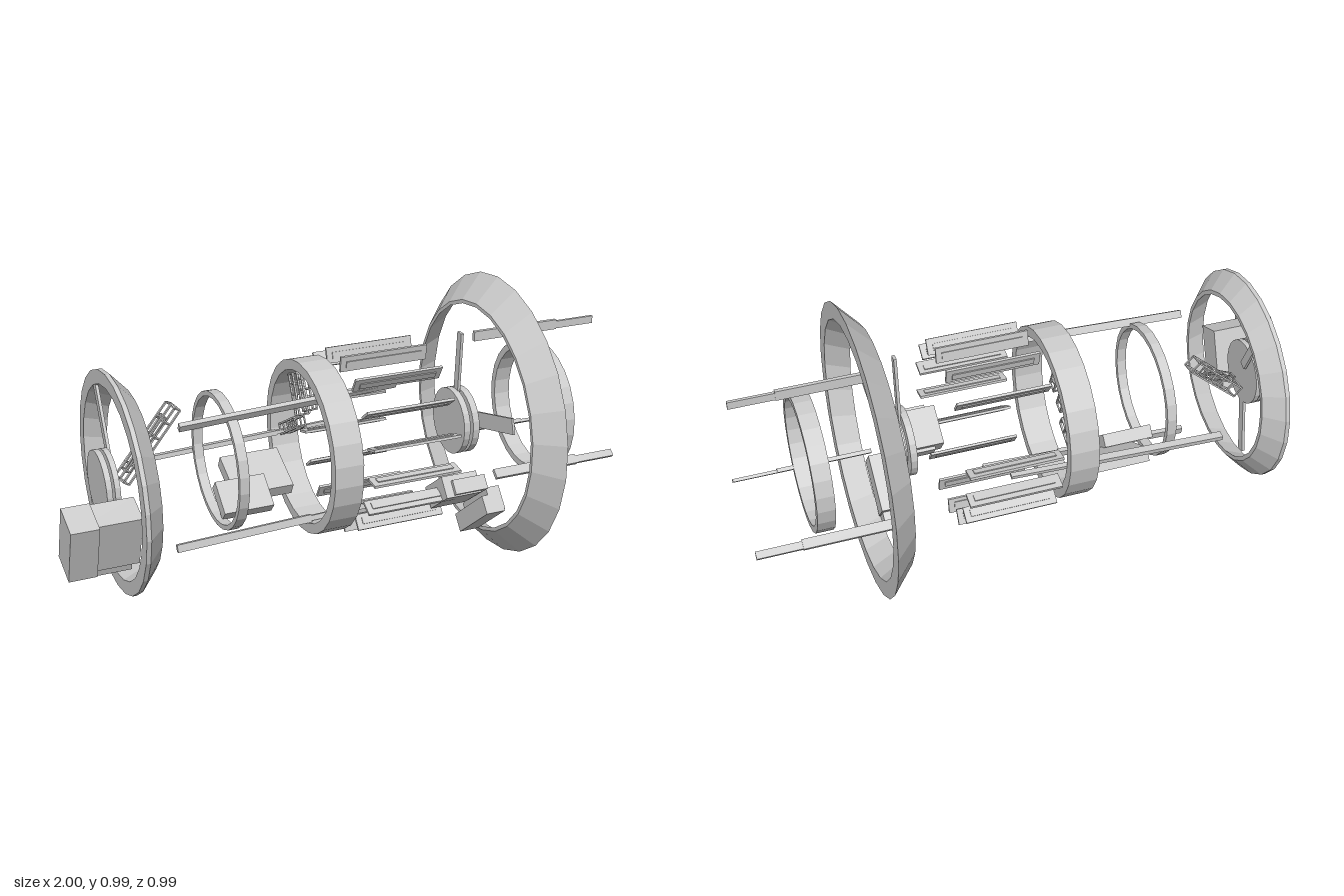
import * as THREE from 'three';

const mat = new THREE.MeshStandardMaterial({ color: 0xcccccc, flatShading: true, side: THREE.DoubleSide });
const rad = THREE.MathUtils.degToRad;

export function createModel() {
  const model = new THREE.Group();

  const add = (name, geo, parent = model) => {
    const mesh = new THREE.Mesh(geo, mat);
    mesh.name = name;
    parent.add(mesh);
    return mesh;
  };

  // Ring around the x axis; profile is a list of [x, radius]
  const ring = (name, profile, y, z = 0, sides = 26) => {
    const pts = [...profile, profile[0]].map(([x, r]) => new THREE.Vector2(r, x));
    const geo = new THREE.LatheGeometry(pts, sides, Math.PI / sides);
    geo.rotateZ(-Math.PI / 2);
    add(name, geo).position.set(0, y, z);
  };
  const band = (x0, x1, ro, ri) => [[x0, ro], [x1, ro], [x1, ri], [x0, ri]];

  // Box turned about the x axis: angle 0 points up, 90 points to +z
  const block = (name, x0, x1, y, z, angle, radial, tangential, parent = model) => {
    const mesh = add(name, new THREE.BoxGeometry(x1 - x0, radial, tangential), parent);
    mesh.position.set((x0 + x1) / 2, y, z);
    mesh.rotation.x = rad(angle);
    return mesh;
  };

  // Box from a distance r0 to r1 along a radial direction
  const radialBlock = (name, x0, x1, yc, angle, r0, r1, width, parent) => {
    const a = rad(angle), r = (r0 + r1) / 2;
    return block(name, x0, x1, yc + r * Math.cos(a), r * Math.sin(a), angle, r1 - r0, width, parent);
  };

  const disc = (name, x0, x1, y, r) => {
    const geo = new THREE.CylinderGeometry(r, r, x1 - x0, 24);
    geo.rotateZ(Math.PI / 2);
    add(name, geo).position.set((x0 + x1) / 2, y, 0);
  };

  // Thin square bar between two points
  const bar = (a, b, t, parent) => {
    const mesh = add('bar', new THREE.BoxGeometry(t, t, a.distanceTo(b)), parent);
    mesh.position.copy(a).lerp(b, 0.5);
    mesh.lookAt(b);
  };

  // Lattice truss with four long bars and square frames
  const truss = (name, from, to, width, bays, t = 0.006) => {
    const group = new THREE.Group();
    group.name = name;
    const a = new THREE.Vector3(...from), b = new THREE.Vector3(...to);
    const dir = b.clone().sub(a).normalize();
    const u = new THREE.Vector3(0, 0, 1).cross(dir);
    if (u.length() < 0.1) u.set(1, 0, 0);
    u.normalize();
    const v = dir.clone().cross(u).normalize();
    const corner = (s, i) => a.clone().lerp(b, s)
      .addScaledVector(u, (i % 4 < 2 ? 0.5 : -0.5) * width)
      .addScaledVector(v, ((i + 1) % 4 < 2 ? 0.5 : -0.5) * width);
    for (let i = 0; i < 4; i++) {
      bar(corner(0, i), corner(1, i), t, group);
      for (let k = 0; k <= bays; k++) bar(corner(k / bays, i), corner(k / bays, i + 1), t * 0.8, group);
    }
    model.add(group);
  };

  // Main rings along the axis
  ring('largeFlaredRing', [[0.525, 0.41], [0.605, 0.497], [0.605, 0.438], [0.525, 0.397]], 0.498);
  ring('rearFlaredRing', [[-0.78, 0.367], [-0.765, 0.367], [-0.708, 0.305], [-0.708, 0.29], [-0.78, 0.32]], 0.483);
  ring('middleRing', band(-0.13, -0.03, 0.297, 0.262), 0.495);
  ring('thinRing', band(-0.43, -0.397, 0.232, 0.215), 0.498);
  ring('endRing', band(0.735, 0.795, 0.236, 0.212), 0.5);

  // Long fins around the middle, leaving one slot empty
  for (let i = 0; i < 16; i++) {
    if (i === 13) continue;
    const angle = 8 + i * 22.5;
    const fin = new THREE.Group();
    fin.name = 'fin';
    radialBlock('finPlate', 0, 0.315, 0.495, angle, 0.262, 0.316, 0.009, fin);
    radialBlock('finRib', 0.02, 0.295, 0.495, angle, 0.275, 0.298, 0.016, fin);
    model.add(fin);
  }

  // Three rails on each end
  for (const [y, z, angle] of [[0.79, -0.01, 0], [0.345, -0.22, -122], [0.345, 0.172, 132]]) {
    block('frontRail', 0.525, 0.85, y, z, angle, 0.034, 0.014);
    block('frontRailTip', 0.85, 1, y - 0.002, z, angle, 0.026, 0.011);
  }
  for (const [y, z, angle] of [[0.703, 0.128, 30], [0.447, -0.25, -100], [0.25, 0.057, 166]]) {
    const rail = new THREE.Group();
    rail.name = 'rearRail';
    rail.position.set(-0.215, y, z);
    rail.rotation.z = rad(2.2);
    block('railBody', -0.375, 0.1, 0, 0, angle, 0.026, 0.016, rail);
    block('railTip', 0.1, 0.375, 0, 0, angle, 0.018, 0.012, rail);
    model.add(rail);
  }

  // Hubs made of stacked discs, with their arms
  disc('frontHubDisc', 0.432, 0.455, 0.497, 0.117);
  disc('frontHubDisc', 0.466, 0.49, 0.497, 0.117);
  disc('frontHubCap', 0.49, 0.502, 0.497, 0.09);
  disc('frontHubCore', 0.45, 0.47, 0.497, 0.08);
  radialBlock('frontHubArm', 0.452, 0.462, 0.497, 3.5, 0.05, 0.325, 0.028);
  radialBlock('frontHubArm', 0.502, 0.51, 0.497, 75.5, -0.015, 0.322, 0.055);
  disc('rearHubDisc', -0.827, -0.808, 0.483, 0.115);
  disc('rearHubDisc', -0.8, -0.782, 0.483, 0.115);
  disc('rearHubCore', -0.81, -0.79, 0.483, 0.08);
  radialBlock('rearHubArm', -0.792, -0.782, 0.483, -172, 0.05, 0.318, 0.03);
  radialBlock('rearHubArm', -0.778, -0.768, 0.483, -27, 0.05, 0.325, 0.03);

  // Equipment box beyond the rear ring
  block('rearBox', -0.985, -0.77, 0.415, 0.225, 110, 0.1, 0.19);
  block('rearBoxFlange', -1, -0.91, 0.413, 0.236, 110, 0.115, 0.205);
  block('rearBoxSide', -0.93, -0.79, 0.4, 0.215, 110, 0.085, 0.225);

  // Box hung beside the fins
  block('sideBox', 0.27, 0.4, 0.345, 0.225, 143, 0.075, 0.14);
  block('sideBoxLid', 0.3, 0.42, 0.34, 0.23, 143, 0.05, 0.165);

  // Box under the large ring
  block('lowerBox', 0.48, 0.53, 0.215, 0.14, 141, 0.085, 0.2);
  block('lowerBoxFace', 0.455, 0.525, 0.193, 0.14, 141, 0.065, 0.235);

  // Slabs inside the rear half
  block('innerSlab', -0.41, -0.235, 0.335, -0.033, -139, 0.045, 0.12);
  block('innerSlab', -0.34, -0.13, 0.353, -0.142, -152, 0.045, 0.17);

  // Lattice mast from the rear hub, and short trusses inside the middle ring
  truss('mast', [-0.73, 0.46, -0.055], [-0.525, 0.66, -0.125], 0.04, 5);
  truss('mastBrace', [-0.72, 0.5, -0.04], [-0.56, 0.625, -0.14], 0.022, 3, 0.005);
  truss('ringTruss', [-0.08, 0.74, -0.085], [-0.08, 0.61, -0.025], 0.036, 4);
  truss('ringTruss', [-0.08, 0.7, -0.15], [-0.08, 0.57, -0.09], 0.036, 4);
  truss('ringTruss', [-0.08, 0.46, -0.25], [-0.08, 0.535, -0.115], 0.036, 4);

  return model;
}
